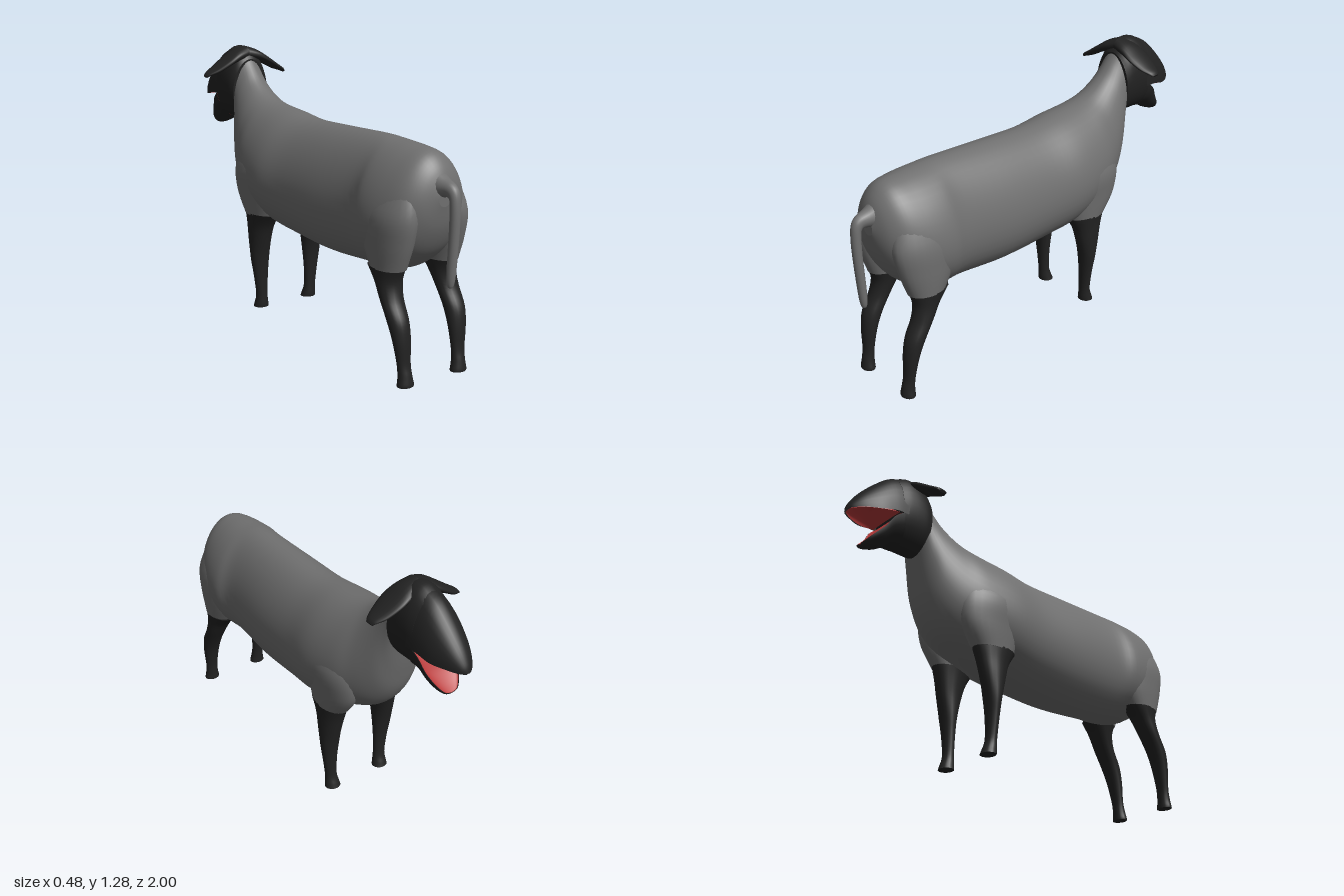
import * as THREE from 'three';

const WOOL = 0x707070, DARK = 0x222222, RED = 0xb83a3a;

// Cross-section profiles: [across -1..1, height 0..1]
const oval = (egg = 0, n = 28) => Array.from({ length: n }, (_, i) => {
  const a = (i / n) * Math.PI * 2;
  return [Math.cos(a) * (1 - egg * Math.sin(a)), 0.5 + 0.5 * Math.sin(a)];
});
const dome = Array.from({ length: 17 }, (_, i) => {
  const a = (i / 16) * Math.PI;
  return [Math.cos(a), Math.sin(a)];
});

const spline = (a, b, c, d, t) =>
  0.5 * (2 * b + (c - a) * t + (2 * a - 5 * b + 4 * c - d) * t * t + (3 * b - a - 3 * c + d) * t * t * t);

// Smooth skin through rings [zTop, yTop, zBottom, yBottom, halfWidth, xCentre]
function loft(name, color, rings, { profile = oval(), open = false, side = 1, steps = 5 } = {}) {
  const n = profile.length, pos = [], idx = [];
  const at = i => rings[Math.min(Math.max(i, 0), rings.length - 1)];
  const rows = (rings.length - 1) * steps + 1;
  for (let r = 0; r < rows; r++) {
    const k = Math.min(Math.floor(r / steps), rings.length - 2), t = r / steps - k;
    const [zt, yt, zb, yb, w, x = 0] = [0, 1, 2, 3, 4, 5].map(j =>
      spline(at(k - 1)[j] ?? 0, at(k)[j] ?? 0, at(k + 1)[j] ?? 0, at(k + 2)[j] ?? 0, t));
    for (const [a, b] of profile) pos.push(side * x + a * w, yb + (yt - yb) * b, zb + (zt - zb) * b);
  }
  for (let r = 0; r < rows - 1; r++) {
    for (let i = 0; i < (open ? n - 1 : n); i++) {
      const a = r * n + i, b = r * n + (i + 1) % n;
      idx.push(a, b, a + n, b, b + n, a + n);
    }
  }
  if (!open) {
    // End caps have their own vertices so their rims stay crisp
    for (const [row, flip] of [[0, true], [rows - 1, false]]) {
      const base = pos.length / 3, c = [0, 0, 0];
      for (let i = 0; i < n; i++) {
        for (let j = 0; j < 3; j++) {
          const v = pos[(row * n + i) * 3 + j];
          c[j] += v / n;
          pos.push(v);
        }
      }
      pos.push(...c);
      for (let i = 0; i < n; i++) {
        const a = base + i, b = base + (i + 1) % n;
        idx.push(...(flip ? [b, a, base + n] : [a, b, base + n]));
      }
    }
    // Turn the faces outward
    const v = i => new THREE.Vector3().fromArray(pos, i * 3);
    let volume = 0;
    for (let i = 0; i < idx.length; i += 3) volume += v(idx[i]).dot(v(idx[i + 1]).cross(v(idx[i + 2])));
    if (volume < 0) idx.reverse();
  }
  const geo = new THREE.BufferGeometry();
  geo.setAttribute('position', new THREE.Float32BufferAttribute(pos, 3));
  geo.setIndex(idx);
  geo.computeVertexNormals();
  const mat = new THREE.MeshStandardMaterial({ color, side: open ? THREE.DoubleSide : THREE.FrontSide });
  const mesh = new THREE.Mesh(geo, mat);
  mesh.name = name;
  return mesh;
}

export function createModel() {
  const model = new THREE.Group();
  model.name = 'sheep';

  // Woolly body and neck, from rump to head
  model.add(loft('body', WOOL, [
    [0.915, 0.84, 0.915, 0.76, 0.03], [0.885, 0.92, 0.89, 0.65, 0.11], [0.83, 0.975, 0.83, 0.54, 0.175],
    [0.74, 0.99, 0.73, 0.46, 0.215], [0.63, 0.997, 0.62, 0.435, 0.225], [0.52, 1.003, 0.5, 0.425, 0.202],
    [0.25, 0.995, 0.25, 0.41, 0.217], [0, 0.99, 0, 0.425, 0.224], [-0.18, 1.007, -0.18, 0.447, 0.238],
    [-0.34, 1.025, -0.36, 0.495, 0.215], [-0.43, 1.055, -0.48, 0.555, 0.175], [-0.51, 1.11, -0.56, 0.66, 0.135],
    [-0.565, 1.17, -0.6, 0.79, 0.105], [-0.605, 1.225, -0.625, 0.91, 0.088],
  ], { profile: oval(0.14, 40) }));

  // Tail hooking out from the rump and hanging down
  model.add(loft('tail', WOOL, [
    [0.84, 0.93, 0.85, 0.77, 0.07], [0.915, 0.885, 0.9, 0.795, 0.042], [0.965, 0.865, 0.935, 0.805, 0.029],
    [0.99, 0.835, 0.95, 0.8, 0.025], [0.999, 0.78, 0.955, 0.775, 0.024], [0.998, 0.68, 0.955, 0.68, 0.023],
    [0.985, 0.5, 0.947, 0.5, 0.021], [0.976, 0.44, 0.95, 0.44, 0.015], [0.968, 0.428, 0.958, 0.428, 0.005],
  ], { profile: oval(0, 16) }));

  // Legs: woolly upper part and dark lower part on each side
  for (const side of [1, -1]) {
    const label = side > 0 ? 'left' : 'right';
    model.add(
      loft(label + 'Haunch', WOOL, [
        [0.825, 0.485, 0.64, 0.485, 0.068, 0.142], [0.865, 0.6, 0.58, 0.59, 0.083, 0.138],
        [0.885, 0.72, 0.55, 0.72, 0.09, 0.13], [0.85, 0.85, 0.58, 0.85, 0.06, 0.11],
      ], { side }),
      loft(label + 'Shoulder', WOOL, [
        [-0.16, 0.495, -0.38, 0.495, 0.066, 0.143], [-0.12, 0.6, -0.45, 0.6, 0.078, 0.145],
        [-0.08, 0.73, -0.46, 0.73, 0.09, 0.14], [-0.12, 0.88, -0.4, 0.88, 0.06, 0.11],
      ], { side }),
      loft(label + 'HindLeg', DARK, [
        [0.822, 0.49, 0.625, 0.487, 0.068, 0.143], [0.805, 0.43, 0.68, 0.43, 0.059, 0.147],
        [0.82, 0.36, 0.725, 0.36, 0.053, 0.153], [0.862, 0.28, 0.772, 0.28, 0.049, 0.155],
        [0.876, 0.2, 0.808, 0.2, 0.043, 0.153], [0.88, 0.1, 0.832, 0.1, 0.033, 0.15],
        [0.89, 0.05, 0.836, 0.04, 0.033, 0.148], [0.897, 0.012, 0.836, 0.008, 0.039, 0.147],
        [0.897, 0, 0.836, 0, 0.039, 0.147],
      ], { side, profile: oval(0, 20) }),
      loft(label + 'ForeLeg', DARK, [
        [-0.15, 0.505, -0.378, 0.502, 0.067, 0.143], [-0.19, 0.44, -0.356, 0.44, 0.059, 0.147],
        [-0.215, 0.36, -0.336, 0.36, 0.053, 0.152], [-0.236, 0.27, -0.315, 0.27, 0.048, 0.153],
        [-0.246, 0.18, -0.302, 0.18, 0.038, 0.15], [-0.25, 0.08, -0.3, 0.08, 0.03, 0.145],
        [-0.25, 0.03, -0.315, 0.03, 0.035, 0.143], [-0.252, 0.01, -0.322, 0.01, 0.039, 0.142],
      ], { side, profile: oval(0, 20) }),
    );
  }

  // Head with open mouth
  const head = new THREE.Group();
  head.name = 'head';
  model.add(head);
  head.add(
    loft('skull', DARK, [
      [-0.592, 1.215, -0.61, 0.905, 0.1], [-0.62, 1.252, -0.64, 0.903, 0.108],
      [-0.67, 1.275, -0.68, 0.903, 0.111], [-0.72, 1.274, -0.73, 0.903, 0.11], [-0.77, 1.25, -0.76, 0.905, 0.106],
    ], { profile: oval(0.05, 32) }),
    loft('muzzle', DARK, [
      [-0.71, 1.274, -0.74, 1.03, 0.111], [-0.8, 1.238, -0.8, 1.03, 0.107], [-0.88, 1.17, -0.87, 1.014, 0.095],
      [-0.95, 1.093, -0.935, 1.008, 0.067], [-0.988, 1.035, -0.98, 1, 0.035], [-1, 1, -0.998, 0.996, 0.008],
    ], { profile: dome, open: true }),
    loft('palate', RED, [
      [-0.78, 1.034, -0.78, 1.03, 0.103], [-0.86, 1.06, -0.86, 1.017, 0.093],
      [-0.935, 1.04, -0.935, 1.009, 0.062], [-0.985, 1.004, -0.985, 1, 0.022],
    ], { profile: dome, open: true }),
    loft('jaw', DARK, [
      [-0.73, 0.903, -0.76, 1.035, 0.107], [-0.78, 0.9, -0.805, 1.0, 0.098], [-0.825, 0.873, -0.84, 0.945, 0.084],
      [-0.87, 0.855, -0.88, 0.9, 0.064], [-0.9, 0.849, -0.908, 0.868, 0.036], [-0.912, 0.856, -0.914, 0.86, 0.006],
    ], { profile: dome, open: true }),
    loft('tongue', RED, [
      [-0.77, 1.03, -0.768, 1.034, 0.103], [-0.802, 0.985, -0.805, 1.0, 0.095], [-0.835, 0.93, -0.84, 0.945, 0.081],
      [-0.875, 0.888, -0.88, 0.9, 0.06], [-0.905, 0.864, -0.908, 0.868, 0.032], [-0.912, 0.859, -0.912, 0.861, 0.006],
    ], { profile: dome, open: true }),
  );

  // Flat drooping ears, lofted outward then turned to each side
  for (const side of [1, -1]) {
    const ear = loft(side > 0 ? 'leftEar' : 'rightEar', DARK, [
      [0, 1.278, 0, 1.21, 0.05], [0.06, 1.258, 0.055, 1.2, 0.062], [0.12, 1.22, 0.11, 1.18, 0.067],
      [0.18, 1.18, 0.17, 1.15, 0.053], [0.22, 1.155, 0.212, 1.137, 0.032], [0.232, 1.14, 0.226, 1.13, 0.02],
    ], { profile: oval(0, 20) });
    ear.rotation.y = side * Math.PI / 2;
    ear.position.z = -0.65;
    head.add(ear);
  }
  return model;
}
